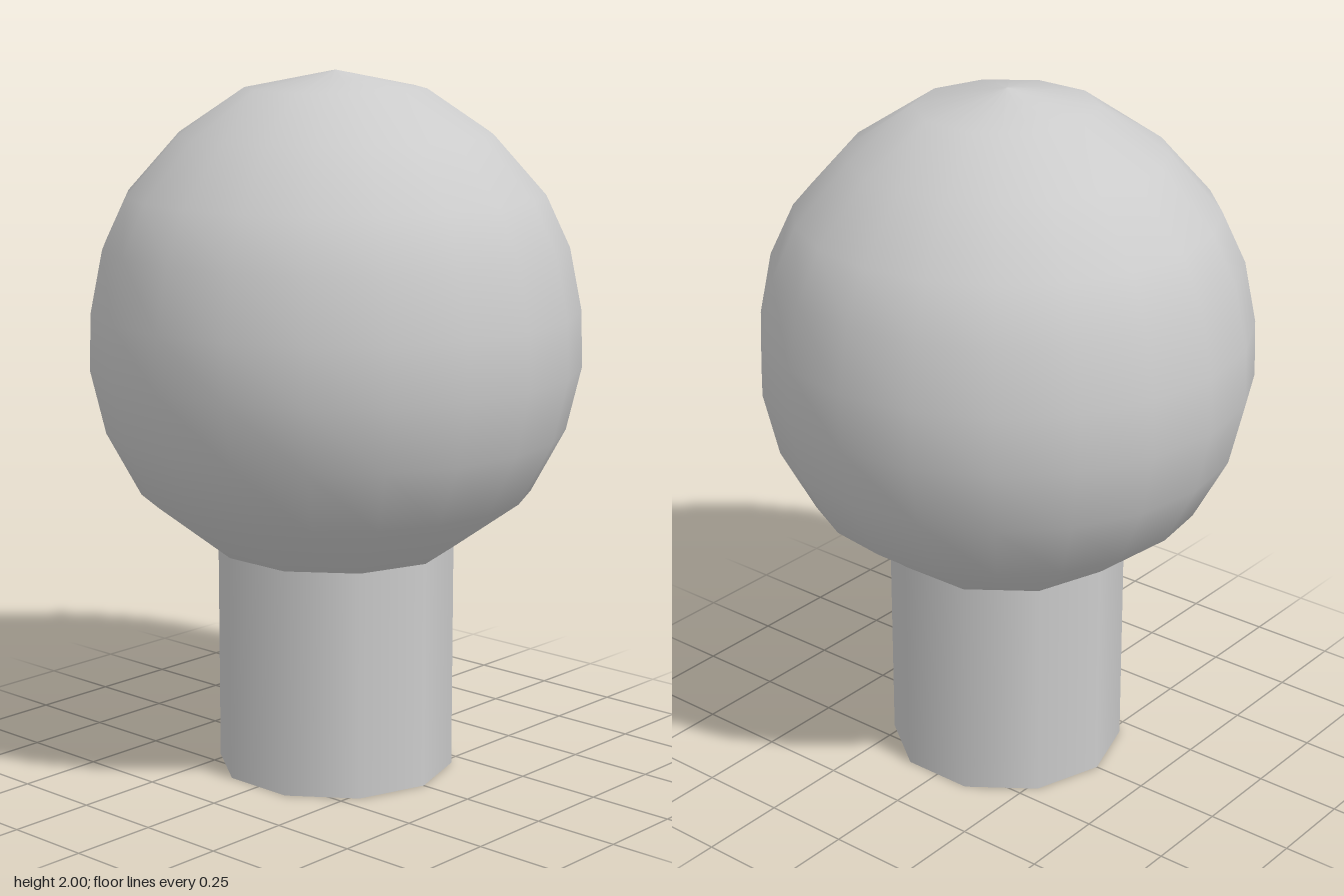
import * as THREE from 'three';

const material = new THREE.MeshStandardMaterial({ color: 0xcccccc, side: THREE.DoubleSide });
const SIDES = 20;

// Globe profile from neck to crown: [radius, height]
const PROFILE = [
  [0.34, 0.65], [0.557, 0.82], [0.653, 1.0], [0.695, 1.18], [0.69, 1.34],
  [0.655, 1.515], [0.587, 1.66], [0.44, 1.825], [0.255, 1.95], [0, 2],
];

// Twenty-sided globe whose neck and crown rings narrow to ten sides
function makeGlobe() {
  const geometry = new THREE.LatheGeometry(PROFILE.map(([r, y]) => new THREE.Vector2(r, y)), SIDES);
  const position = geometry.attributes.position;
  const rows = PROFILE.length;
  const apothem = Math.cos(Math.PI / 10);
  for (let side = 1; side < SIDES; side += 2) {
    for (const row of [0, rows - 2]) {
      const i = side * rows + row;
      position.setX(i, position.getX(i) * apothem);
      position.setZ(i, position.getZ(i) * apothem);
    }
  }
  const globe = new THREE.Mesh(geometry, material);
  globe.name = 'globe';
  return globe;
}

// Open ten-sided tube standing on the ground
function makeBase() {
  const base = new THREE.Mesh(new THREE.CylinderGeometry(0.34, 0.34, 0.65, 10, 1, true), material);
  base.position.y = 0.325;
  base.name = 'base';
  return base;
}

export function createModel() {
  const model = new THREE.Group();
  model.name = 'globeBulb';
  model.add(makeBase(), makeGlobe());
  return model;
}
